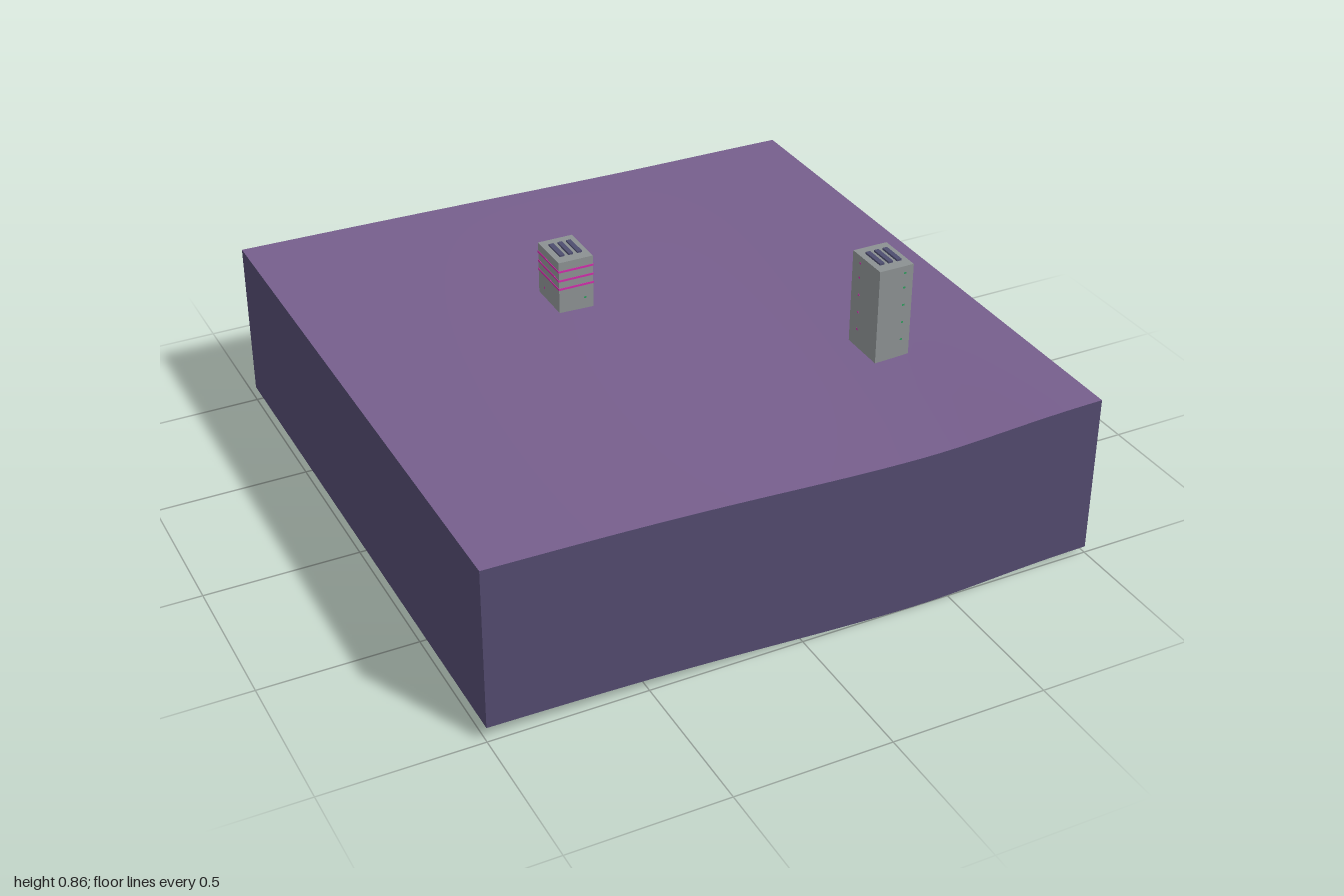
import * as THREE from 'three';

const mat = (name, color, side = THREE.FrontSide) => {
  const m = new THREE.MeshStandardMaterial({ color, side });
  m.name = name;
  return m;
};

const WALL_DROP = 0.53;

// Ground height: a gentle fall toward +x with a hollow that fades toward the back
function groundHeight(x, z) {
  const spread = x < 0.37 ? 0.62 : 0.4;
  const hollow = 0.0325 * Math.exp(-(((x - 0.37) / spread) ** 2));
  const fade = 0.15 + 0.85 * THREE.MathUtils.smoothstep(z, -1, 1);
  return 0.5675 - 0.0125 * x - hollow * fade;
}

function reshape(geometry, rule) {
  const p = geometry.attributes.position;
  for (let i = 0; i < p.count; i++) p.setY(i, rule(p.getX(i), p.getY(i), p.getZ(i)));
  geometry.computeVertexNormals();
  return geometry;
}

export function createModel() {
  const ground = mat('ground purple', 0x765e8c, THREE.DoubleSide);
  const earth = mat('earth violet', 0x51496d, THREE.DoubleSide);
  const concrete = mat('concrete grey', 0x8b9091);
  const vent = mat('vent slate', 0x4d4d6e);
  const pink = mat('neon pink', 0xcc2fa8);
  const green = mat('neon green', 0x2f9a5c);

  const model = new THREE.Group();
  model.name = 'terrainTile';

  const add = (parent, name, geometry, material, x = 0, y = 0, z = 0) => {
    const mesh = new THREE.Mesh(geometry, material);
    mesh.name = name;
    mesh.position.set(x, y, z);
    parent.add(mesh);
    return mesh;
  };

  // Rolling ground surface
  const top = new THREE.PlaneGeometry(2, 2, 32, 32).rotateX(-Math.PI / 2);
  add(model, 'groundSurface', reshape(top, (x, y, z) => groundHeight(x, z)), ground);

  // Four skirt walls following the ground edge, open underneath
  ['frontWall', 'leftWall', 'backWall', 'rightWall'].forEach((name, k) => {
    const wall = new THREE.PlaneGeometry(2, 1, 32, 1).translate(0, 0, 1).rotateY(k * Math.PI / 2);
    add(model, name, reshape(wall, (x, y, z) => groundHeight(x, z) - (y < 0 ? WALL_DROP : 0)), earth);
  });

  // Tower block with roof vents, lit bands and tiny windows
  const W = 0.118, D = 0.156;
  function tower(name, x, z, bottom, roof, bands, floors) {
    const g = new THREE.Group();
    g.name = name;
    g.position.set(x, 0, z);
    add(g, 'towerBody', new THREE.BoxGeometry(W, roof - bottom, D), concrete, 0, (roof + bottom) / 2, 0);
    for (const vx of [-0.03, 0, 0.03]) {
      add(g, 'roofVent', new THREE.BoxGeometry(0.016, 0.006, 0.084), vent, vx, roof + 0.003, 0);
    }
    for (const y of bands) {
      add(g, 'lightBand', new THREE.BoxGeometry(W + 0.003, 0.007, D + 0.003), pink, 0, y, 0);
    }
    for (const y of floors) {
      for (const s of [-1, 1]) {
        add(g, 'endWindow', new THREE.BoxGeometry(0.008, 0.006, 0.001), green, s * 0.03, y, s * D / 2);
        add(g, 'sideWindow', new THREE.BoxGeometry(0.001, 0.006, 0.008), pink, s * W / 2, y, s * 0.035);
      }
    }
    model.add(g);
  }

  tower('shortTower', -0.17, -0.252, 0.552, 0.742, [0.648, 0.678, 0.71], [0.6]);
  tower('tallTower', 0.582, 0.417, 0.535, 0.854, [], [0.6, 0.66, 0.72, 0.78, 0.83]);

  return model;
}
